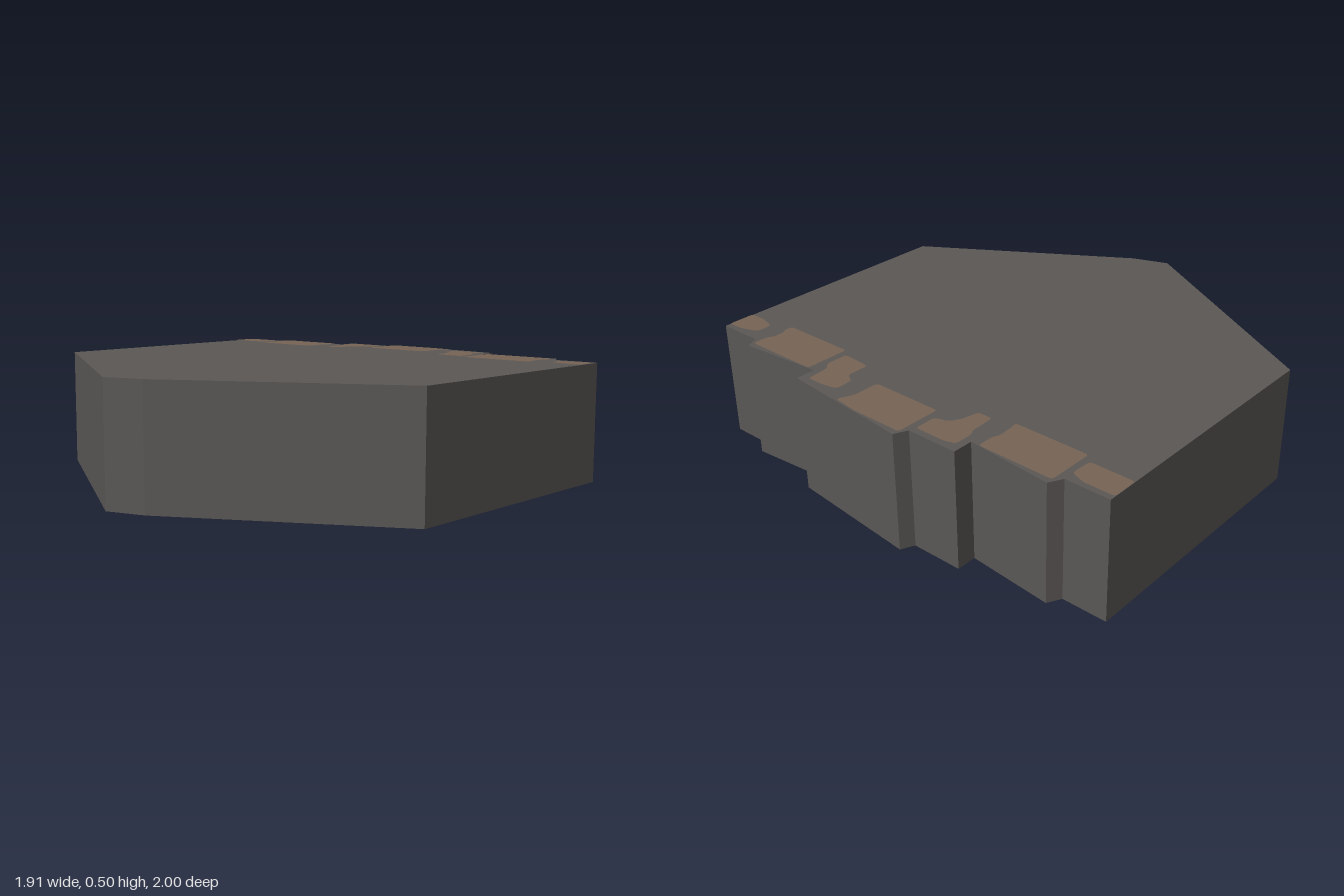
import * as THREE from 'three';

const HEIGHT = 0.5;

const stone = new THREE.MeshStandardMaterial({ color: 0x5a5755, side: THREE.DoubleSide });
stone.name = 'dark stone';
const brick = new THREE.MeshStandardMaterial({ color: 0x776354 });
brick.name = 'worn brick';

// Plan of the slab as [x, z]: notched right edge, pointed left edge
const outline = [
  [-0.375, -1], [0.79, -1], [0.79, -0.81], [0.845, -0.78], [0.815, -0.415], [0.9, -0.415],
  [0.9, -0.195], [0.955, -0.168], [0.9, 0.413], [0.815, 0.413], [0.845, 0.778], [0.79, 0.805],
  [0.79, 1], [-0.375, 1], [-0.905, 0.13], [-0.96, -0.03],
];

// Brick patches along the notched edge as [x, z]
const patches = [
  [[0.655, -1], [0.767, -1], [0.767, -0.87], [0.745, -0.808], [0.655, -0.812]],
  [[0.622, -0.782], [0.82, -0.782], [0.818, -0.452], [0.745, -0.452], [0.72, -0.465], [0.65, -0.46], [0.622, -0.452]],
  [[0.65, -0.365], [0.76, -0.37], [0.78, -0.385], [0.86, -0.385], [0.873, -0.34], [0.873, -0.203],
    [0.78, -0.203], [0.765, -0.26], [0.72, -0.285], [0.65, -0.3]],
  [[0.735, -0.173], [0.93, -0.173], [0.93, 0.06], [0.915, 0.173], [0.85, 0.143], [0.735, 0.143]],
  [[0.66, 0.278], [0.76, 0.278], [0.78, 0.235], [0.86, 0.232], [0.873, 0.3], [0.873, 0.375],
    [0.77, 0.385], [0.75, 0.412], [0.65, 0.412], [0.655, 0.33]],
  [[0.622, 0.443], [0.818, 0.443], [0.82, 0.778], [0.75, 0.778], [0.73, 0.763], [0.675, 0.763], [0.655, 0.778], [0.622, 0.775]],
  [[0.67, 0.855], [0.738, 0.853], [0.765, 0.93], [0.767, 1], [0.65, 1], [0.65, 0.92]],
];

// Upward-facing flat sheet from [x, z] points, with optional softened corners
function sheet(points, y, radius = 0) {
  const pts = points.map(([x, z]) => new THREE.Vector2(x, -z));
  const shape = new THREE.Shape();
  pts.forEach((p, i) => {
    const prev = pts[(i + pts.length - 1) % pts.length];
    const next = pts[(i + 1) % pts.length];
    const toward = (q) => p.clone().lerp(q, Math.min(0.45, radius / p.distanceTo(q)));
    const a = toward(prev), b = toward(next);
    if (i === 0) shape.moveTo(a.x, a.y);
    else shape.lineTo(a.x, a.y);
    if (radius > 0) shape.quadraticCurveTo(p.x, p.y, b.x, b.y);
  });
  shape.closePath();
  return new THREE.ShapeGeometry(shape, 3).rotateX(-Math.PI / 2).translate(0, y, 0);
}

// Vertical walls, one flat quad per outline edge
function walls(points, height) {
  const pos = [];
  points.forEach(([ax, az], i) => {
    const [bx, bz] = points[(i + 1) % points.length];
    pos.push(ax, 0, az, ax, height, az, bx, 0, bz);
    pos.push(bx, 0, bz, ax, height, az, bx, height, bz);
  });
  const geo = new THREE.BufferGeometry();
  geo.setAttribute('position', new THREE.Float32BufferAttribute(pos, 3));
  geo.computeVertexNormals();
  return geo;
}

export function createModel() {
  const model = new THREE.Group();
  model.name = 'stoneSlab';
  const add = (name, geometry, material) => {
    const mesh = new THREE.Mesh(geometry, material);
    mesh.name = name;
    model.add(mesh);
  };

  // Hollow shell, open underneath
  add('sideWalls', walls(outline, HEIGHT), stone);
  add('topSurface', sheet(outline, HEIGHT), stone);

  // Worn bricks showing on the top
  patches.forEach((p, i) => add(`brickPatch${i + 1}`, sheet(p, HEIGHT + 0.002, 0.015), brick));
  return model;
}
